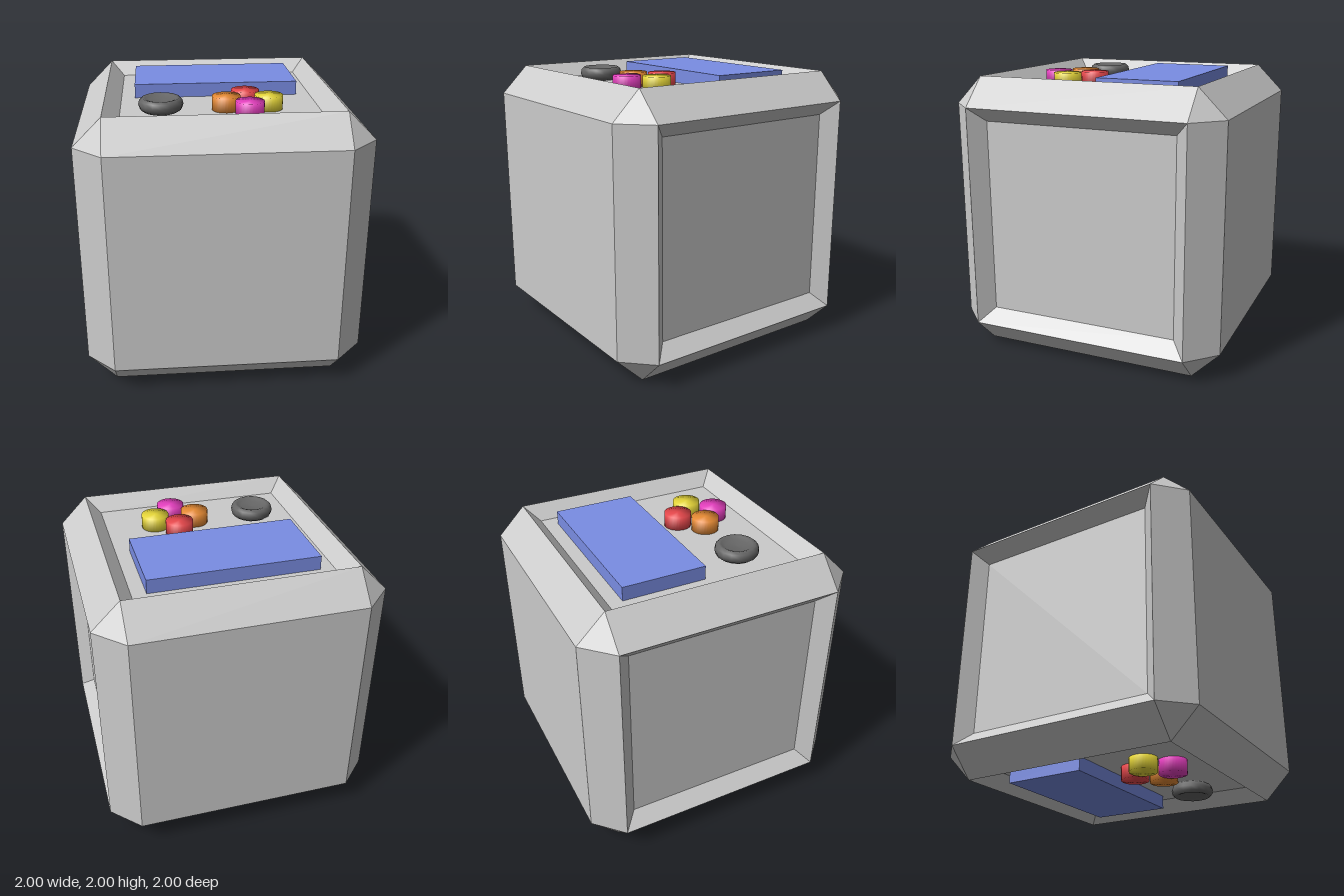
import * as THREE from 'three';
import { mergeVertices } from 'three/addons/utils/BufferGeometryUtils.js';

const mat = (color, extra = {}) => new THREE.MeshStandardMaterial({ color, ...extra });

function add(parent, name, geometry, material, x = 0, y = 0, z = 0) {
  const mesh = new THREE.Mesh(geometry, material);
  mesh.name = name;
  mesh.position.set(x, y, z);
  parent.add(mesh);
  return mesh;
}

// Chamfered cube centred on the origin; the x and y faces are sunk into trays.
function bodyGeometry() {
  const E = 0.8, IN = 0.7, FLOOR = 0.9;
  const positions = [];

  // Convex polygon, turned to face away from the centre
  const face = (...pts) => {
    const normal = pts[1].clone().sub(pts[0]).cross(pts[2].clone().sub(pts[0]));
    const mid = pts.reduce((sum, p) => sum.add(p), new THREE.Vector3());
    if (normal.dot(mid) < 0) pts.reverse();
    for (let i = 1; i < pts.length - 1; i++) {
      for (const p of [pts[0], pts[i], pts[i + 1]]) positions.push(p.x, p.y, p.z);
    }
  };

  // Point given by its distance n along one axis and u, v along the next two
  const point = (axis, n, u, v) => {
    const p = new THREE.Vector3();
    p.setComponent(axis, n);
    p.setComponent((axis + 1) % 3, u);
    p.setComponent((axis + 2) % 3, v);
    return p;
  };
  const square = (axis, n, r) =>
    [[-1, -1], [1, -1], [1, 1], [-1, 1]].map(([u, v]) => point(axis, n, u * r, v * r));

  for (let axis = 0; axis < 3; axis++) {
    for (const s of [-1, 1]) {
      const rim = square(axis, s, E);
      if (axis === 2) {
        face(...rim);
      } else {
        // Sloping tray walls and tray floor
        const floor = square(axis, s * FLOOR, IN);
        for (let i = 0; i < 4; i++) {
          const j = (i + 1) % 4;
          face(rim[i], rim[j], floor[j], floor[i]);
        }
        face(...floor);
      }
      // Edge chamfers
      for (const t of [-1, 1]) {
        face(point(axis, s, t * E, -E), point(axis, s, t * E, E),
          point(axis, s * E, t, E), point(axis, s * E, t, -E));
      }
    }
  }
  // Corner triangles
  for (const x of [-1, 1]) for (const y of [-1, 1]) for (const z of [-1, 1]) {
    face(new THREE.Vector3(x, y * E, z * E), new THREE.Vector3(x * E, y, z * E),
      new THREE.Vector3(x * E, y * E, z));
  }

  const geometry = new THREE.BufferGeometry();
  geometry.setAttribute('position', new THREE.Float32BufferAttribute(positions, 3));
  geometry.computeVertexNormals();
  return geometry;
}

// Cylinder whose cap and side share soft normals
function buttonGeometry() {
  const geometry = new THREE.CylinderGeometry(0.1, 0.1, 0.1, 32);
  geometry.deleteAttribute('normal');
  geometry.deleteAttribute('uv');
  const soft = mergeVertices(geometry);
  soft.computeVertexNormals();
  return soft;
}

// Screen, thumb dial and four buttons standing on a tray floor
function controlPanel(name) {
  const panel = new THREE.Group();
  panel.name = name;
  add(panel, 'screen', new THREE.BoxGeometry(1.2, 0.1, 0.6), mat(0x7a8de4), 0, 0.95, -0.3);

  const profile = [[0, 0], [0.12, 0], [0.147, 0.02], [0.157, 0.05], [0.15, 0.08],
    [0.13, 0.097], [0.11, 0.092], [0.08, 0.075], [0, 0.07]];
  add(panel, 'thumbDial',
    new THREE.LatheGeometry(profile.map(([r, y]) => new THREE.Vector2(r, y)), 16),
    mat(0x666666), -0.415, 0.9, 0.35);

  const button = buttonGeometry();
  const colors = [0xe8484c, 0xe8d83a, 0xe640c0, 0xe88c35];
  const names = ['backButton', 'leftButton', 'frontButton', 'rightButton'];
  colors.forEach((color, i) => {
    const a = i * Math.PI / 2;
    add(panel, names[i], button, mat(color),
      0.19 + 0.15 * Math.sin(a), 0.95, 0.35 - 0.15 * Math.cos(a));
  });
  return panel;
}

export function createModel() {
  const model = new THREE.Group();
  model.name = 'controlCube';
  model.position.y = 0;

  const cube = new THREE.Group();
  cube.name = 'cube';
  cube.position.y = 1;
  model.add(cube);

  add(cube, 'body', bodyGeometry(), mat(0xcccccc, { flatShading: true }));

  // The same controls on top and, rolled over, underneath
  const top = controlPanel('topPanel');
  const bottom = controlPanel('bottomPanel');
  bottom.rotation.z = Math.PI;
  cube.add(top, bottom);
  return model;
}
